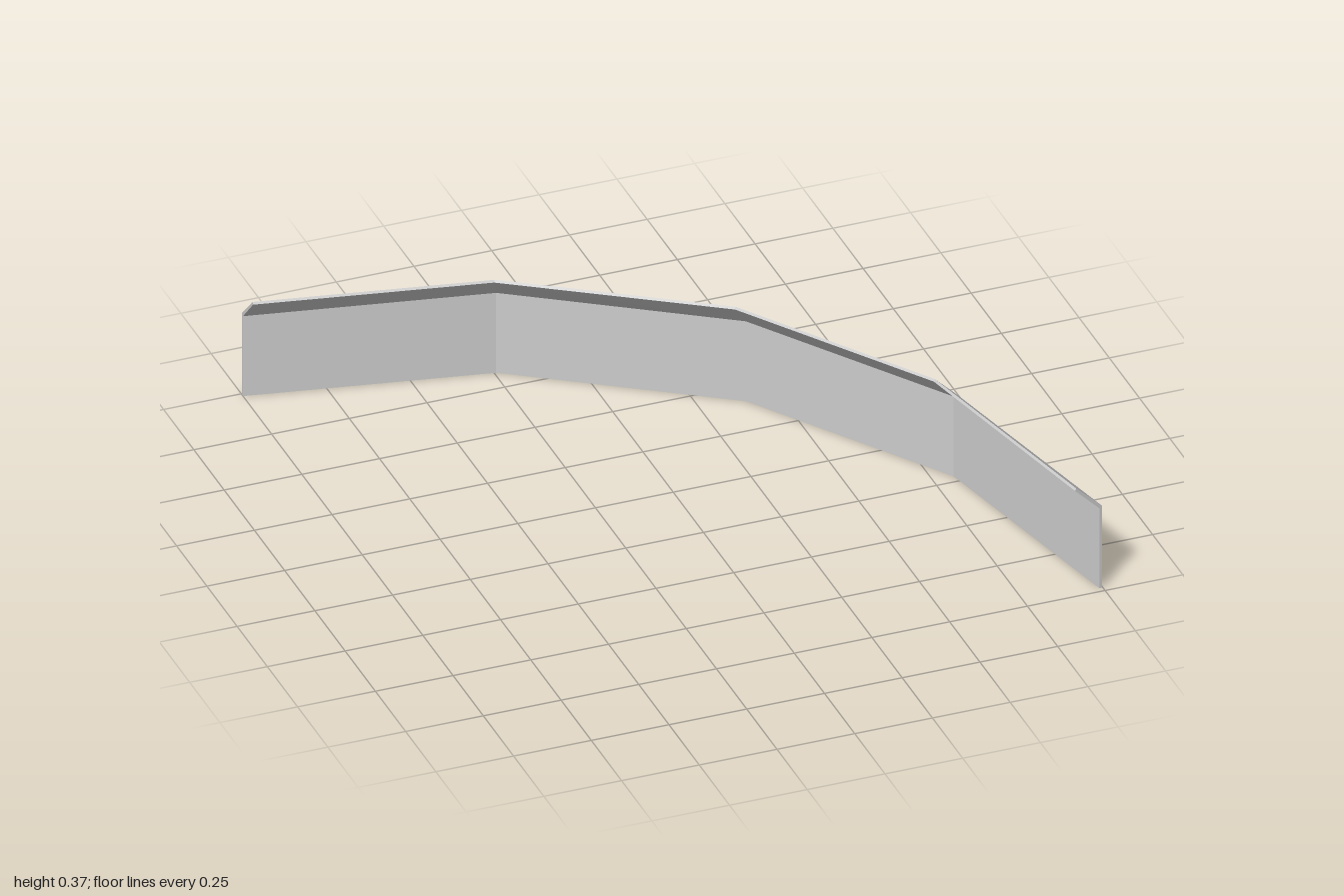
import * as THREE from 'three';

// Plan of the faceted curve: outer wall corners and matching lip edge corners (x, z)
const OUTER = [[-1, -0.995], [-0.24, -0.845], [0.4, -0.418], [0.825, 0.217], [0.998, 0.98]];
const LIP = [[-1, -0.903], [-0.28, -0.76], [0.336, -0.353], [0.74, 0.252], [0.905, 0.995]];

// Closed cross-section: [share of the way from wall to lip edge, height]
const SECTION = [[0, 0], [0, 0.286], [0.95, 0.374], [1, 0.367], [0.1, 0.28], [0.1, 0]];

const point = (i, j) => {
  const [t, y] = SECTION[j];
  return [
    THREE.MathUtils.lerp(OUTER[i][0], LIP[i][0], t),
    y,
    THREE.MathUtils.lerp(OUTER[i][1], LIP[i][1], t),
  ];
};

// Sweep the section edges j listed, along every straight run of the plan
function panelGeometry() {
  const positions = [];
  const quad = (a, b, c, d) => positions.push(...a, ...b, ...c, ...a, ...c, ...d);
  const n = SECTION.length;
  const last = OUTER.length - 1;
  for (let i = 0; i < last; i++) {
    for (let j = 0; j < n; j++) {
      const k = (j + 1) % n;
      quad(point(i, j), point(i, k), point(i + 1, k), point(i + 1, j));
    }
  }
  // End caps: one quad for the wall, one for the lip
  for (const [a, b, c, d] of [[0, 1, 4, 5], [1, 2, 3, 4]]) {
    quad(point(0, d), point(0, c), point(0, b), point(0, a));
    quad(point(last, a), point(last, b), point(last, c), point(last, d));
  }
  const geometry = new THREE.BufferGeometry();
  geometry.setAttribute('position', new THREE.Float32BufferAttribute(positions, 3));
  geometry.computeVertexNormals();
  return geometry;
}

export function createModel() {
  const group = new THREE.Group();
  group.name = 'curvedBarrier';
  const grey = new THREE.MeshStandardMaterial({ color: 0xcccccc });
  grey.name = 'light grey';
  grey.flatShading = true;

  // Thin upright wall with its top folded inward
  const panel = new THREE.Mesh(panelGeometry(), grey);
  panel.name = 'wallWithFoldedLip';
  group.add(panel);
  return group;
}
